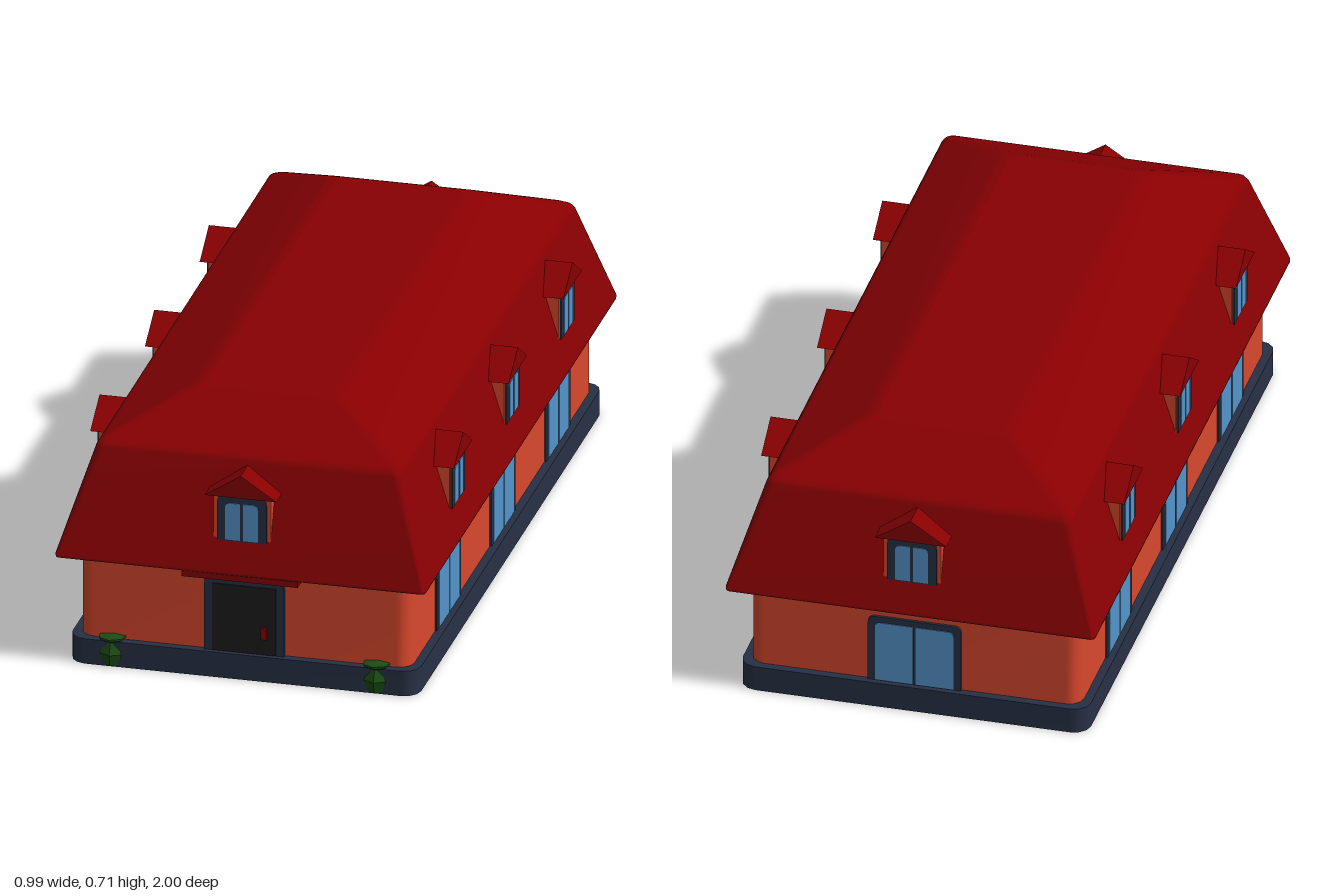
import * as THREE from 'three';
import { toCreasedNormals } from 'three/addons/utils/BufferGeometryUtils.js';

const mat = (name, color) => {
  const m = new THREE.MeshStandardMaterial({ color });
  m.name = name;
  return m;
};

// Stacks rounded rectangles [halfX, halfZ, y, cornerRadius] into a closed solid.
// The first and last rings are repeated for the caps, so their rims stay sharp.
function loft(rows, steps = 3) {
  const pos = [], idx = [], n = 4 * (steps + 1), last = rows.length - 1;
  for (const [hx, hz, y, r] of [...rows, rows[0], rows[last]]) {
    for (let q = 0; q < 4; q++) {
      const sx = q === 0 || q === 3 ? 1 : -1, sz = q < 2 ? -1 : 1;
      for (let s = 0; s <= steps; s++) {
        const t = (q + s / steps) * Math.PI / 2;
        pos.push(sx * (hx - r) + r * Math.cos(t), y, sz * (hz - r) - r * Math.sin(t));
      }
    }
  }
  for (let i = 0; i < last; i++) {
    for (let j = 0; j < n; j++) {
      const a = i * n + j, b = i * n + (j + 1) % n;
      idx.push(a, b, b + n, a, b + n, a + n);
    }
  }
  const bottom = (last + 1) * n, top = bottom + n;
  for (let j = 1; j < n - 1; j++) {
    idx.push(bottom, bottom + j + 1, bottom + j, top, top + j, top + j + 1);
  }
  const g = new THREE.BufferGeometry();
  g.setAttribute('position', new THREE.Float32BufferAttribute(pos, 3));
  g.setIndex(idx);
  g.computeVertexNormals();
  return g;
}

// Upright panel standing on y0, with chosen top corners rounded
function panel(x0, x1, y0, y1, depth, rl, rr) {
  const s = new THREE.Shape();
  s.moveTo(x0, y0);
  s.lineTo(x1, y0);
  s.lineTo(x1, y1 - rr);
  if (rr) s.quadraticCurveTo(x1, y1, x1 - rr, y1);
  s.lineTo(x0 + rl, y1);
  if (rl) s.quadraticCurveTo(x0, y1, x0, y1 - rl);
  s.closePath();
  return new THREE.ExtrudeGeometry(s, { depth, bevelEnabled: false, curveSegments: 4 });
}

export function createModel() {
  const red = mat('roof red', 0x880002);
  const orange = mat('wall orange', 0xd9482d);
  const navy = mat('trim navy', 0x273145);
  const blue = mat('glass blue', 0x5494cb);
  const black = mat('door black', 0x1c1c1c);
  const green = mat('plant green', 0x1b4c15);

  const house = new THREE.Group();
  house.name = 'house';
  const add = (parent, name, geo, material, x = 0, y = 0, z = 0) => {
    const m = new THREE.Mesh(geo, material);
    m.name = name;
    m.position.set(x, y, z);
    parent.add(m);
  };

  // Main shell
  add(house, 'plinth', loft([[0.466, 0.967, 0, 0.045], [0.466, 0.967, 0.07, 0.045]]), navy);
  add(house, 'walls', loft([[0.443, 0.944, 0.06, 0.04], [0.443, 0.944, 0.32, 0.04]]), orange);
  add(house, 'roof', loft([
    [0.485, 0.99, 0.303, 0.012],
    [0.494, 0.999, 0.306, 0.012],
    [0.495, 1.0, 0.314, 0.012],
    [0.411, 0.912, 0.59, 0.025],
    [0.404, 0.905, 0.602, 0.025],
    [0.39, 0.89, 0.611, 0.025],
    [0.205, 0.705, 0.698, 0.025],
    [0.19, 0.69, 0.704, 0.025],
    [0.17, 0.67, 0.707, 0.025],
  ]), red);

  // Two-pane window, facing +z with its back at z
  function makeWindow(parent, half, y0, y1, border, bar, z, depth) {
    add(parent, 'windowFrame', panel(-half, half, y0, y1, depth, 0.02, 0.02), navy, 0, 0, z);
    const g = half - border, top = y1 - border * 0.85, sill = y0 + 0.004;
    add(parent, 'leftPane', panel(bar, g, sill, top, 0.003, 0, 0.014), blue, 0, 0, z + depth - 0.001);
    add(parent, 'rightPane', panel(-g, -bar, sill, top, 0.003, 0.014, 0), blue, 0, 0, z + depth - 0.001);
  }

  // Dormer, facing +z with its wall face at z
  function makeDormer(parent, z) {
    const d = new THREE.Group();
    d.name = 'dormer';
    add(d, 'dormerWalls', new THREE.BoxGeometry(0.154, 0.13, 0.08), orange, 0, 0.46, z - 0.04);
    const gable = new THREE.Shape();
    gable.moveTo(-0.096, 0.521);
    gable.lineTo(0.096, 0.521);
    gable.lineTo(0, 0.584);
    gable.closePath();
    add(d, 'dormerRoof', new THREE.ExtrudeGeometry(gable, { depth: 0.1, bevelEnabled: false }),
      red, 0, 0, z - 0.083);
    makeWindow(d, 0.066, 0.393, 0.519, 0.022, 0.004, z - 0.01, 0.015);
    parent.add(d);
  }

  // Long sides: three bays each
  for (const side of [1, -1]) {
    for (const z of [-0.567, 0, 0.567]) {
      const bay = new THREE.Group();
      bay.name = side > 0 ? 'leftBay' : 'rightBay';
      bay.position.z = z;
      bay.rotation.y = side * Math.PI / 2;
      makeWindow(bay, 0.125, 0.068, 0.26, 0.02, 0.004, 0.435, 0.013);
      makeDormer(bay, 0.469);
      house.add(bay);
    }
  }

  // Back end
  const back = new THREE.Group();
  back.name = 'backEnd';
  back.rotation.y = Math.PI;
  makeWindow(back, 0.125, 0.068, 0.26, 0.02, 0.004, 0.938, 0.013);
  makeDormer(back, 0.973);
  house.add(back);

  // Front end with door and canopy
  const front = new THREE.Group();
  front.name = 'frontEnd';
  makeDormer(front, 0.973);
  add(front, 'doorFrame', panel(-0.107, 0.107, 0.068, 0.28, 0.015, 0.025, 0.025), navy, 0, 0, 0.938);
  add(front, 'door', new THREE.BoxGeometry(0.17, 0.188, 0.004), black, 0, 0.165, 0.954);
  add(front, 'doorHandle', new THREE.BoxGeometry(0.015, 0.03, 0.012), red, 0.055, 0.132, 0.96);
  add(front, 'canopy', new THREE.BoxGeometry(0.31, 0.026, 0.065), red, 0, 0.302, 0.9655);
  house.add(front);

  // Small shrubs set into the front edge of the plinth
  const shrub = toCreasedNormals(new THREE.LatheGeometry([
    [0, 0.001], [0.028, 0.004], [0.037, 0.036], [0.022, 0.066], [0.036, 0.074], [0.037, 0.08], [0, 0.085],
  ].map(([x, y]) => new THREE.Vector2(x, y)), 7), 0.1);
  for (const x of [-0.353, 0.353]) add(house, 'shrub', shrub, green, x, 0, 0.947);

  return house;
}
